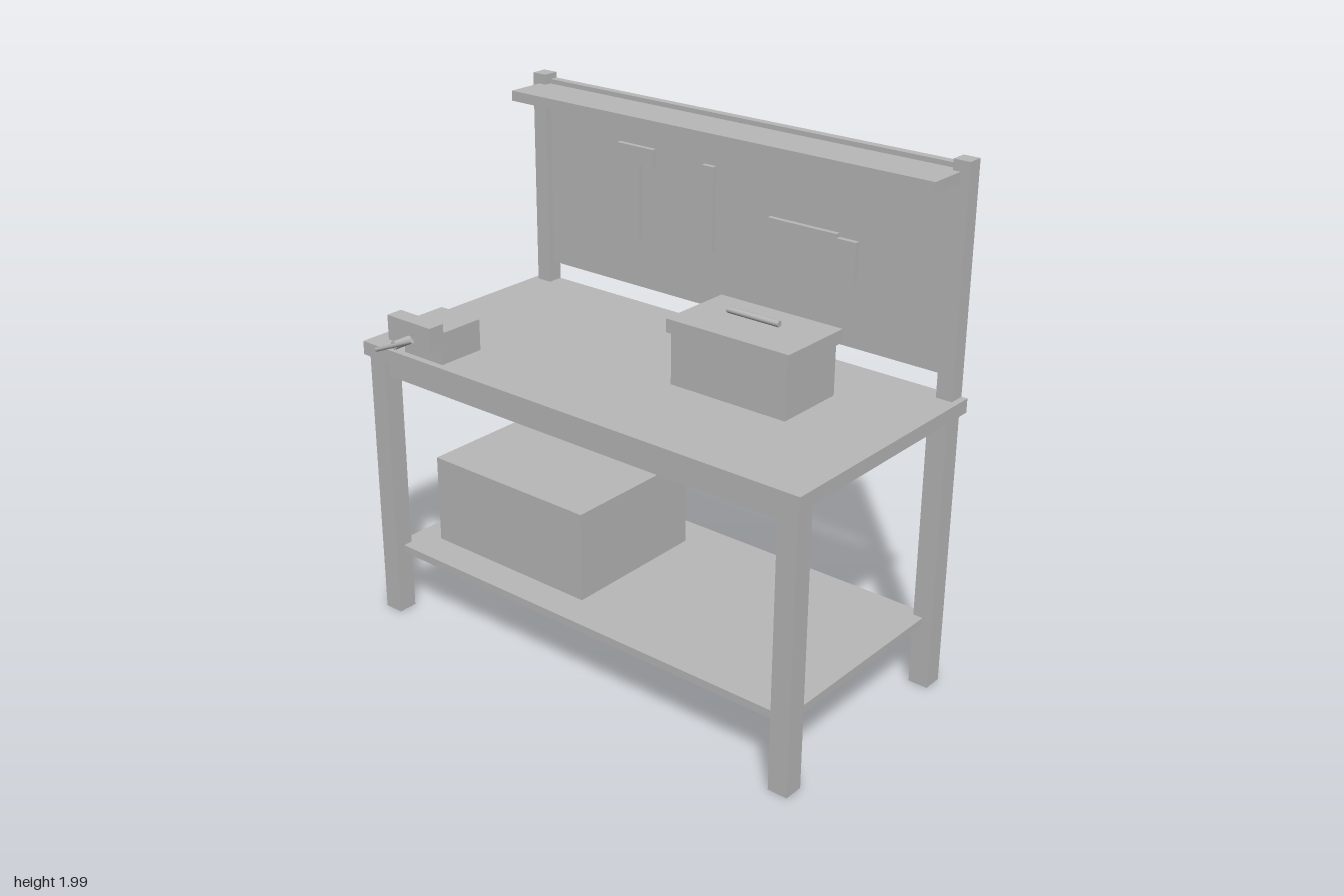
import * as THREE from 'three';

export function createModel() {
  const model = new THREE.Group();
  model.name = 'workbench';
  const grey = new THREE.MeshStandardMaterial({ color: 0xb8b8b8 });
  grey.name = 'plain grey';

  const add = (name, geometry, parent = model) => {
    const mesh = new THREE.Mesh(geometry, grey);
    mesh.name = name;
    parent.add(mesh);
    return mesh;
  };
  // Box given by its limits on each axis
  const box = (name, [x0, x1], [y0, y1], [z0, z1], parent) => {
    const mesh = add(name, new THREE.BoxGeometry(x1 - x0, y1 - y0, z1 - z0), parent);
    mesh.position.set((x0 + x1) / 2, (y0 + y1) / 2, (z0 + z1) / 2);
    return mesh;
  };
  const group = (name) => {
    const g = new THREE.Group();
    g.name = name;
    model.add(g);
    return g;
  };

  // Bench frame
  box('benchTop', [-1, 1], [1.084, 1.137], [-0.555, 0.435]);
  for (const [side, s] of [['right', -1], ['left', 1]]) {
    for (const [end, z] of [['Front', 0.38], ['Back', -0.497]]) {
      box(side + end + 'Leg', [s * 0.944 - 0.039, s * 0.944 + 0.039], [0, 1.084], [z - 0.039, z + 0.039]);
    }
    box(side + 'Post', [s * 0.944 - 0.032, s * 0.944 + 0.032], [1.137, 1.988], [-0.555, -0.492]);
  }
  box('frontApron', [-0.906, 0.906], [1.01, 1.084], [0.36, 0.4]);
  box('backApron', [-0.906, 0.906], [1.01, 1.084], [-0.517, -0.477]);
  box('lowerShelf', [-0.944, 0.944], [0.252, 0.283], [-0.497, 0.38]);
  box('crate', [-0.835, -0.086], [0.283, 0.637], [-0.362, 0.247]);

  // Tool board
  box('backPanel', [-0.912, 0.912], [1.217, 1.91], [-0.538, -0.52]);
  box('topRail', [-0.912, 0.912], [1.905, 1.966], [-0.555, -0.522]);
  box('topShelf', [-0.945, 0.942], [1.91, 1.949], [-0.52, -0.338]);

  // Hanging tools
  const hammer = group('hammer');
  box('hammerHead', [-0.552, -0.375], [1.715, 1.783], [-0.52, -0.5], hammer);
  box('hammerHandle', [-0.487, -0.443], [1.412, 1.715], [-0.52, -0.5], hammer);
  box('chisel', [-0.14, -0.087], [1.44, 1.77], [-0.52, -0.5]);
  const sawOutline = new THREE.Shape([
    [0.165, 1.48], [0.455, 1.48], [0.455, 1.465], [0.547, 1.465],
    [0.547, 1.617], [0.465, 1.617], [0.465, 1.632], [0.165, 1.632],
  ].map(([x, y]) => new THREE.Vector2(x, y)));
  add('saw', new THREE.ExtrudeGeometry(sawOutline, { depth: 0.02, bevelEnabled: false })).position.z = -0.52;

  // Toolbox
  const toolbox = group('toolbox');
  box('toolboxBody', [0.137, 0.632], [1.137, 1.333], [-0.278, 0.01], toolbox);
  box('toolboxLid', [0.122, 0.646], [1.333, 1.384], [-0.293, 0.02], toolbox);
  const grip = add('toolboxHandle', new THREE.CylinderGeometry(0.012, 0.012, 0.22, 12), toolbox);
  grip.rotation.z = Math.PI / 2;
  grip.position.set(0.384, 1.41, -0.135);

  // Vise
  const vise = group('vise');
  box('viseBody', [-0.8, -0.603], [1.137, 1.258], [0.215, 0.408], vise);
  box('viseJaw', [-0.81, -0.59], [1.205, 1.3], [0.408, 0.474], vise);
  const screw = add('viseScrew', new THREE.CylinderGeometry(0.016, 0.016, 0.075, 12), vise);
  screw.rotation.x = Math.PI / 2;
  screw.position.set(-0.7, 1.231, 0.511);
  const bar = add('viseHandle', new THREE.CylinderGeometry(0.008, 0.008, 0.21, 12), vise);
  bar.rotation.z = 0.4 - Math.PI / 2;
  bar.position.set(-0.7, 1.231, 0.547);

  return model;
}
